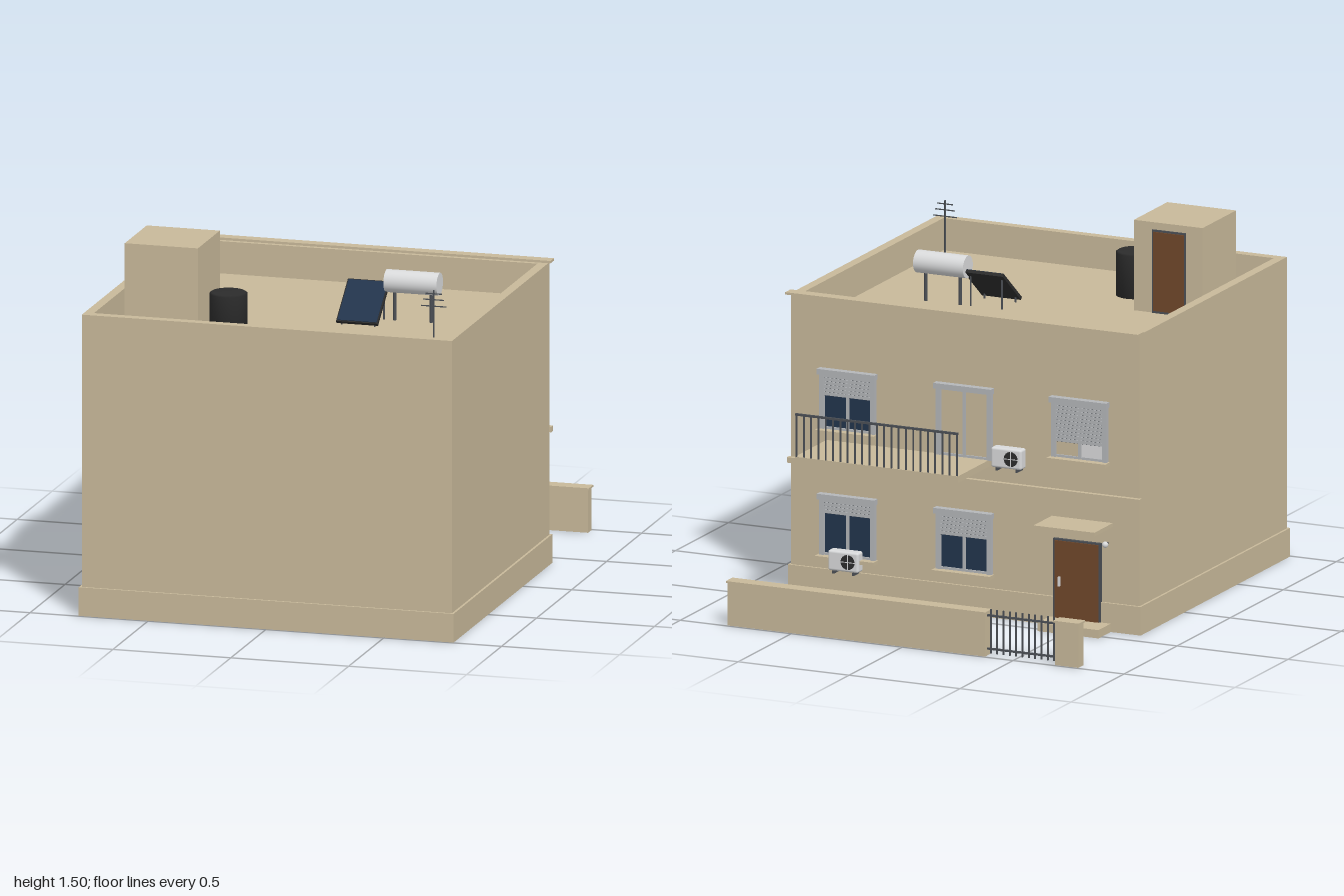
import * as THREE from 'three';
import { RoundedBoxGeometry } from 'three/addons/geometries/RoundedBoxGeometry.js';

const paint = (name, color) => {
  const m = new THREE.MeshStandardMaterial({ color });
  m.name = name;
  return m;
};

export function createModel() {
  const wall = paint('stucco', 0xc8b99a);
  const metal = paint('dark metal', 0x4b4f55);
  const white = paint('white enamel', 0xd9dadb);
  const frameGrey = paint('frame grey', 0xb4b6b9);
  const glass = paint('navy glass', 0x22344c);
  const wood = paint('brown wood', 0x70472b);
  const black = paint('black plastic', 0x2c2c2c);

  const model = new THREE.Group();
  model.name = 'house';
  const group = (name, parent = model) => {
    const g = new THREE.Group();
    g.name = name;
    parent.add(g);
    return g;
  };
  const add = (parent, name, geo, mat, x = 0, y = 0, z = 0) => {
    const m = new THREE.Mesh(geo, mat);
    m.name = name;
    m.position.set(x, y, z);
    parent.add(m);
    return m;
  };
  // box given by its limits on each axis
  const box = (parent, name, mat, x0, x1, y0, y1, z0, z1) =>
    add(parent, name, new THREE.BoxGeometry(x1 - x0, y1 - y0, z1 - z0), mat,
      (x0 + x1) / 2, (y0 + y1) / 2, (z0 + z1) / 2);
  const rod = (parent, name, mat, r, x, y0, y1, z) =>
    add(parent, name, new THREE.CylinderGeometry(r, r, y1 - y0, 12), mat, x, (y0 + y1) / 2, z);

  const ROOF = 1.125, TOP = 1.26, FACE = -0.405;

  // main block with a sunken roof
  const body = group('building');
  box(body, 'mainWalls', wall, -0.785, 0.785, 0, ROOF, FACE, 0.985);
  box(body, 'plinth', wall, -0.795, 0.795, 0, 0.12, -0.415, 0.995);
  const ring = new THREE.Shape([[-0.785, -0.985], [0.785, -0.985], [0.785, 0.405], [-0.785, 0.405]]
    .map(([x, y]) => new THREE.Vector2(x, y)));
  ring.holes.push(new THREE.Path([[-0.745, -0.945], [-0.745, 0.37], [0.745, 0.37], [0.745, -0.945]]
    .map(([x, y]) => new THREE.Vector2(x, y))));
  const parapet = new THREE.ExtrudeGeometry(ring, { depth: TOP - ROOF, bevelEnabled: false });
  parapet.rotateX(-Math.PI / 2);
  add(body, 'parapet', parapet, wall, 0, ROOF, 0);
  box(body, 'cornice', wall, -0.795, 0.795, TOP, 1.27, -0.44, -0.39);
  box(body, 'stringCourse', wall, -0.795, 0.795, 0.55, 0.573, -0.425, -0.4);

  // stair house on the roof
  const stair = group('stairHouse');
  box(stair, 'stairWalls', wall, -0.68, -0.37, ROOF, 1.505, 0.41, 0.725);
  box(stair, 'roofDoorFrame', metal, -0.605, -0.455, ROOF, 1.475, 0.404, 0.411);
  box(stair, 'roofDoor', wood, -0.598, -0.462, ROOF + 0.01, 1.467, 0.399, 0.405);

  // black water tank
  const tank = new THREE.LatheGeometry([[0, 0], [0.078, 0], [0.078, 0.18], [0.07, 0.186], [0, 0.188]]
    .map(([r, y]) => new THREE.Vector2(r, y)), 32);
  add(model, 'waterTank', tank.toNonIndexed(), black, -0.265, ROOF, 0.64);

  // solar heater: tilted panel, drum and legs
  const heater = group('solarHeater');
  const panel = group('solarPanel', heater);
  panel.position.set(0.19, 1.208, 0.252);
  panel.rotation.x = Math.atan2(0.14, 0.175);
  box(panel, 'panelCase', black, -0.088, 0.088, -0.008, 0.006, -0.11, 0.11);
  box(panel, 'panelGlass', glass, -0.083, 0.083, 0.006, 0.009, -0.105, 0.105);
  for (const x of [0.12, 0.26]) {
    rod(heater, 'panelLeg', metal, 0.004, x, ROOF, 1.25, 0.19);
    rod(heater, 'panelFoot', metal, 0.004, x, ROOF, 1.15, 0.32);
  }
  const drum = new THREE.CylinderGeometry(0.047, 0.047, 0.225, 32).rotateZ(Math.PI / 2);
  add(heater, 'heaterDrum', drum, white, 0.383, 1.288, 0.185);
  for (const x of [0.305, 0.46]) rod(heater, 'drumLeg', metal, 0.007, x, ROOF, 1.25, 0.185);

  // antenna
  const antenna = group('antenna');
  rod(antenna, 'mast', metal, 0.004, 0.63, ROOF, 1.4, 0.723);
  for (const [y, w] of [[1.385, 0.035], [1.36, 0.044], [1.333, 0.053]])
    box(antenna, 'antennaBar', metal, 0.63 - w, 0.63 + w, y - 0.002, y + 0.002, 0.721, 0.725);

  // window or balcony door: panes, frame, roller shutter, box and sill
  function opening(name, x, y0, y1, shutter, paneLeft, paneRight, sill) {
    const g = group(name);
    g.position.set(x, 0, FACE);
    const w = 0.115, t = 0.01;
    box(g, 'paneLeft', paneLeft, 0, w, y0, y1, -0.006, 0);
    box(g, 'paneRight', paneRight, -w, 0, y0, y1, -0.006, 0);
    for (const s of [-1, 1])
      box(g, 'jamb', frameGrey, s * w - t, s * w + t, y0, y1, -0.018, 0);
    box(g, 'mullion', frameGrey, -0.006, 0.006, y0, y1, -0.012, 0);
    box(g, 'bottomRail', frameGrey, -w, w, y0, y0 + 0.01, -0.012, 0);
    box(g, 'shutterBox', frameGrey, -0.13, 0.13, y1 - 0.005, y1 + 0.018, -0.032, 0);
    const slats = Math.round(shutter / 0.015);
    for (let i = 0; i < slats; i++) {
      const y = y1 - 0.005 - i * 0.015;
      box(g, 'shutterSlat', frameGrey, -w, w, y - 0.0135, y, -0.015, -0.007);
      box(g, 'slatGap', metal, -w, w, y - 0.015, y - 0.0135, -0.012, -0.007);
    }
    if (sill) box(g, 'sill', wall, -0.132, 0.132, y0 - 0.015, y0, -0.045, 0);
  }
  opening('upperLeftWindow', 0.525, 0.71, 0.945, 0.09, glass, glass, true);
  opening('balconyDoor', 0, 0.66, 0.945, 0, wall, wall, false);
  opening('upperRightWindow', -0.52, 0.71, 0.945, 0.165, wall, white, true);
  opening('lowerLeftWindow', 0.525, 0.18, 0.42, 0.06, glass, glass, true);
  opening('lowerMiddleWindow', 0, 0.18, 0.42, 0.09, glass, glass, true);

  // balcony with a front railing
  const balcony = group('balcony');
  box(balcony, 'balconySlab', wall, -0.11, 0.625, 0.632, 0.66, -0.705, FACE);
  box(balcony, 'handrail', metal, -0.108, 0.623, 0.833, 0.842, -0.705, -0.696);
  for (let i = 0; i <= 22; i++) {
    const x = -0.104 + i * 0.723 / 22;
    box(balcony, 'baluster', metal, x - 0.003, x + 0.003, 0.66, 0.835, -0.7035, -0.6975);
  }

  // entrance
  const entrance = group('entrance');
  box(entrance, 'canopy', wall, -0.665, -0.39, 0.44, 0.456, -0.578, FACE);
  box(entrance, 'doorStep', wall, -0.66, -0.385, 0, 0.035, -0.53, FACE);
  box(entrance, 'doorFrame', metal, -0.617, -0.403, 0.035, 0.367, -0.419, FACE);
  box(entrance, 'frontDoor', wood, -0.608, -0.412, 0.035, 0.36, -0.424, -0.416);
  box(entrance, 'doorHandle', white, -0.438, -0.43, 0.17, 0.21, -0.435, -0.424);
  add(entrance, 'wallLamp', new THREE.SphereGeometry(0.013, 16, 12), white, -0.64, 0.367, -0.425);
  box(entrance, 'lampMount', metal, -0.645, -0.635, 0.36, 0.374, -0.42, FACE);

  // air conditioners on brackets
  for (const [x, y] of [[-0.21, 0.688], [0.525, 0.172]]) {
    const ac = group('airConditioner');
    ac.position.set(x, y, -0.437);
    add(ac, 'acCase', new RoundedBoxGeometry(0.138, 0.085, 0.05, 3, 0.01), white);
    const fan = new THREE.CylinderGeometry(0.031, 0.031, 0.004, 24).rotateX(Math.PI / 2);
    add(ac, 'fanOpening', fan, black, -0.022, 0, -0.025);
    for (const a of [0, Math.PI / 2]) {
      const bar = add(ac, 'fanGuard', new THREE.BoxGeometry(0.062, 0.003, 0.003), white, -0.022, 0, -0.027);
      bar.rotation.z = a;
    }
    for (const s of [-0.045, 0.045])
      box(ac, 'bracket', metal, s - 0.004, s + 0.004, -0.055, -0.042, -0.022, 0.035);
  }

  // street wall, pillar and gate
  const fence = group('streetWall');
  for (const [x0, x1] of [[-0.37, 0.79], [-0.79, -0.685]]) {
    box(fence, 'wallPanel', wall, x0, x1, 0, 0.18, -0.992, -0.943);
    box(fence, 'wallCap', wall, x0 - 0.005, x1 + 0.005, 0.18, 0.188, -1, -0.937);
  }
  for (const y of [0.025, 0.165])
    box(fence, 'gateRail', metal, -0.685, -0.37, y, y + 0.008, -0.973, -0.965);
  for (let i = 0; i < 11; i++) {
    const x = -0.67 + i * 0.0285;
    box(fence, 'gateBar', metal, x - 0.003, x + 0.003, 0.01, 0.195, -0.972, -0.966);
  }
  return model;
}
